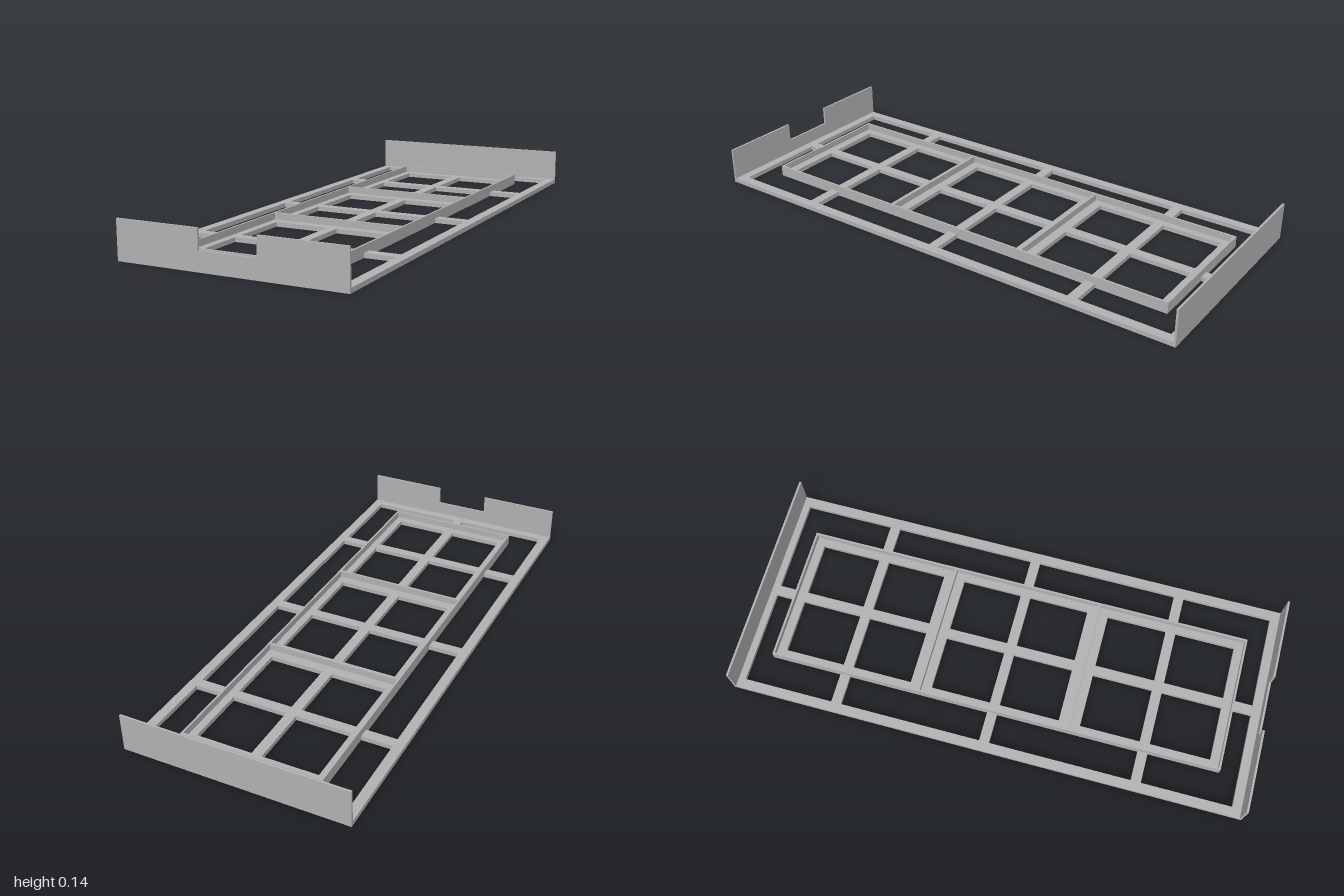
import * as THREE from 'three';

const HALF_W = 0.425, PLATE_T = 0.008, PLATE_H = 0.143;
const BASE_H = 0.017, RIM_H = 0.043, WALL_T = 0.008;
const MID_Z = -0.004;           // the grid sits slightly behind the centre
const TRAY_X = 0.27, TRAY_Z = 0.888, PITCH = 0.592, LIP = 0.037, BAR = 0.0195;

const polygon = (points) => new THREE.Path(points.map(([x, z]) => new THREE.Vector2(x, z)));
const rect = (x0, x1, z0, z1) => polygon([[x0, z0], [x1, z0], [x1, z1], [x0, z1]]);

export function createModel() {
  const model = new THREE.Group();
  model.name = 'trayRack';
  const grey = new THREE.MeshStandardMaterial({ color: 0xb0b0b0 });
  grey.name = 'grey';

  const add = (name, geometry, x = 0, y = 0, z = 0) => {
    const mesh = new THREE.Mesh(geometry, grey);
    mesh.name = name;
    mesh.position.set(x, y, z);
    model.add(mesh);
  };
  const addBox = (name, w, h, d, x, y0, z) =>
    add(name, new THREE.BoxGeometry(w, h, d), x, y0 + h / 2, z);

  // Flat base lattice, drawn in x and z
  const base = new THREE.Shape(rect(-HALF_W, HALF_W, -1 + PLATE_T, 1 - PLATE_T).getPoints());
  const innerX = 0.388, endZ = 0.961, barZ = PITCH;
  for (const s of [-1, 1]) {
    for (const e of [-1, 1]) {
      // L-shaped openings around the tray corners
      base.holes.push(polygon([
        [BAR, endZ], [innerX, endZ], [innerX, barZ + BAR],
        [TRAY_X, barZ + BAR], [TRAY_X, TRAY_Z], [BAR, TRAY_Z],
      ].map(([x, z]) => [s * x, MID_Z + e * z])));
      // Side openings between the cross bars
      base.holes.push(rect(s * TRAY_X, s * innerX, MID_Z + e * BAR, MID_Z + e * (barZ - BAR)));
      // Openings in the floors of the three trays
      for (const tray of [-1, 0, 1]) {
        const z = MID_Z + tray * PITCH;
        base.holes.push(rect(s * BAR, s * (TRAY_X - LIP), z + e * BAR, z + e * (PITCH / 2 - LIP - 0.005)));
      }
    }
  }
  const lattice = new THREE.ExtrudeGeometry(base, { depth: BASE_H, bevelEnabled: false });
  lattice.rotateX(Math.PI / 2);
  add('baseLattice', lattice, 0, BASE_H, 0);

  // Raised rims around and between the trays
  for (const s of [-1, 1]) {
    addBox('traySideRim', WALL_T, RIM_H - BASE_H, 2 * TRAY_Z, s * (TRAY_X - WALL_T / 2), BASE_H, MID_Z);
    addBox('trayEndRim', 2 * (TRAY_X - WALL_T), RIM_H - BASE_H, WALL_T, 0, BASE_H, MID_Z + s * (TRAY_Z - WALL_T / 2));
    addBox('trayDivider', 2 * (TRAY_X - WALL_T), RIM_H - BASE_H, 0.01, 0, BASE_H, MID_Z + s * PITCH / 2);
  }

  // Upright end plates, the front one notched
  addBox('backPlate', 2 * HALF_W, PLATE_H, PLATE_T, 0, 0, -1 + PLATE_T / 2);
  const n = 0.108, notchY = 0.071;
  const front = new THREE.Shape(polygon([
    [-HALF_W, 0], [HALF_W, 0], [HALF_W, PLATE_H], [n, PLATE_H],
    [n, notchY], [-n, notchY], [-n, PLATE_H], [-HALF_W, PLATE_H],
  ]).getPoints());
  add('frontPlate', new THREE.ExtrudeGeometry(front, { depth: PLATE_T, bevelEnabled: false }), 0, 0, 1 - PLATE_T);

  return model;
}
